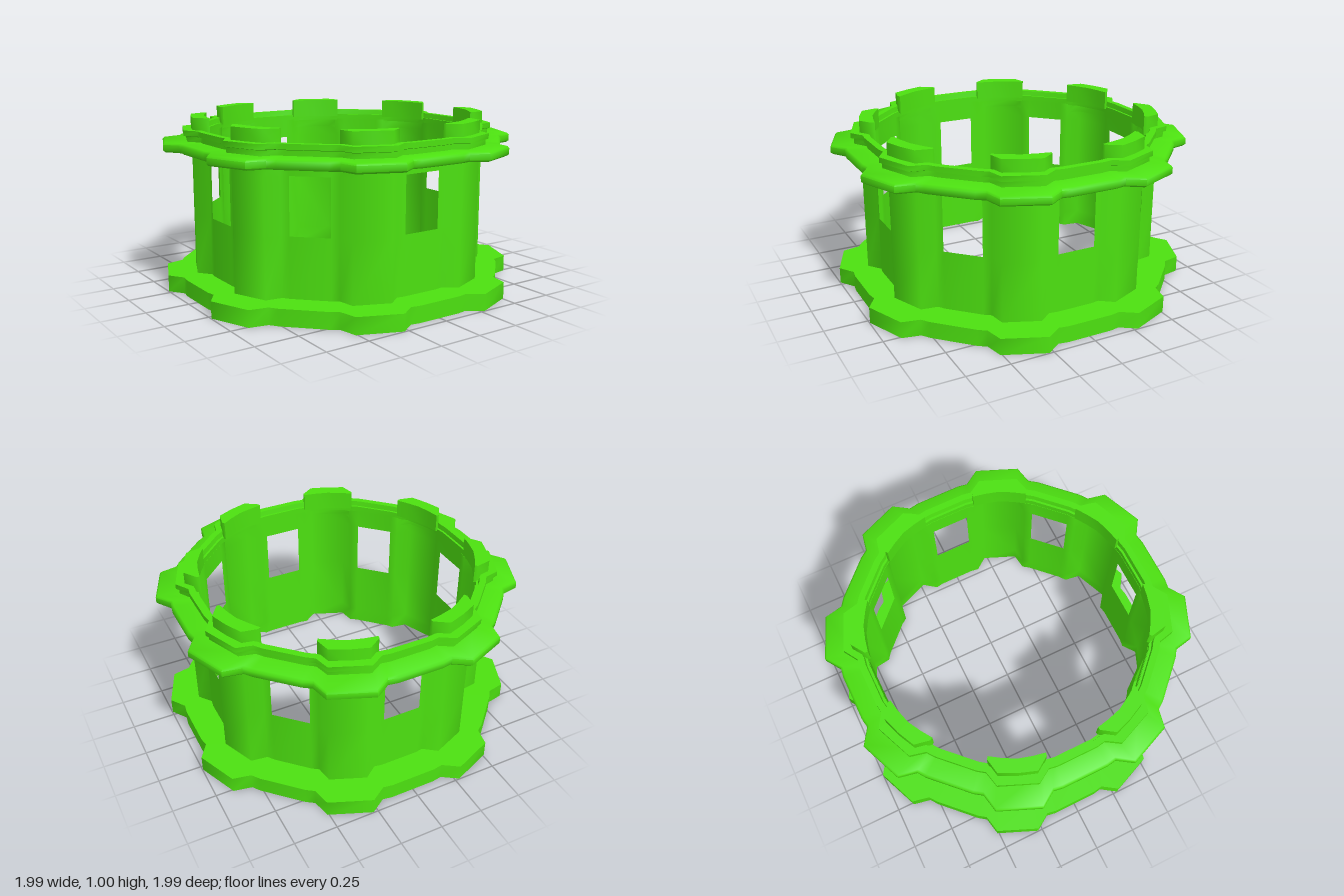
import * as THREE from 'three';
import { toCreasedNormals } from 'three/addons/utils/BufferGeometryUtils.js';

const BAYS = 8;
const RAD = Math.PI / 180;

// Plan of one bay: angle in degrees, and whether the point lies on the projecting bump
const BAY = [[-11.3, 0], [-8, 0], [8, 0], [11.3, 0], [15.5, 1], [29.5, 1]];
const WINDOW_COLUMN = 1;

// Lofts bumpy rings given as [y, radius between bumps, radius on bumps]
function loft(rings, { closed = true, skip = () => false } = {}) {
  const n = BAYS * BAY.length;
  const positions = [];
  const index = [];
  for (const [y, rBase, rBump] of rings) {
    for (let k = 0; k < BAYS; k++) {
      for (const [deg, bump] of BAY) {
        const a = (deg + k * 360 / BAYS) * RAD;
        const r = bump ? rBump : rBase;
        positions.push(Math.sin(a) * r, y, Math.cos(a) * r);
      }
    }
  }
  const rows = closed ? rings.length : rings.length - 1;
  for (let j = 0; j < rows; j++) {
    const lower = j * n;
    const upper = ((j + 1) % rings.length) * n;
    for (let i = 0; i < n; i++) {
      if (skip(i % BAY.length, j)) continue;
      const next = (i + 1) % n;
      index.push(lower + i, lower + next, upper + next, lower + i, upper + next, upper + i);
    }
  }
  const geometry = new THREE.BufferGeometry();
  geometry.setAttribute('position', new THREE.Float32BufferAttribute(positions, 3));
  geometry.setIndex(index);
  return toCreasedNormals(geometry, 1.05);
}

// One merlon, following the bump in plan, centred on the front
function merlonGeometry(height) {
  const plan = [
    [-11.2, 0.8], [-7, 0.866], [0, 0.866], [7, 0.866], [11.2, 0.8],
    [11.2, 0.782], [6, 0.785], [0, 0.79], [-6, 0.785], [-11.2, 0.782],
  ];
  const shape = new THREE.Shape(plan.map(([deg, r]) =>
    new THREE.Vector2(Math.sin(deg * RAD) * r, -Math.cos(deg * RAD) * r)));
  const geometry = new THREE.ExtrudeGeometry(shape, { depth: height, bevelEnabled: false });
  geometry.rotateX(-Math.PI / 2);
  return toCreasedNormals(geometry, 1.05);
}

export function createModel() {
  const model = new THREE.Group();
  model.name = 'towerRing';
  const green = new THREE.MeshStandardMaterial({ color: 0x4ce010, side: THREE.DoubleSide });
  green.name = 'green';

  const add = (name, geometry, parent = model) => {
    const mesh = new THREE.Mesh(geometry, green);
    mesh.name = name;
    parent.add(mesh);
    return mesh;
  };

  // Foot ring
  add('base', loft([
    [0, 0.957, 1.035], [0.095, 0.957, 1.035], [0.095, 0.793, 0.866], [0, 0.793, 0.866],
  ]));

  // Thin wall with pilasters and window openings
  add('wall', loft([
    [0.09, 0.793, 0.866], [0.435, 0.793, 0.866], [0.755, 0.793, 0.866], [0.87, 0.793, 0.866],
  ], { closed: false, skip: (column, row) => column === WINDOW_COLUMN && row === 1 }));

  // Projecting ledge with softened edges
  add('cornice', loft([
    [0.812, 0.945, 1.022], [0.822, 0.957, 1.035], [0.855, 0.957, 1.035], [0.866, 0.945, 1.025],
    [0.866, 0.795, 0.86], [0.812, 0.795, 0.86],
  ]));

  // Stepped parapet
  add('parapet', loft([
    [0.862, 0.836, 0.9], [0.895, 0.836, 0.9], [0.9, 0.852, 0.918], [0.93, 0.852, 0.918],
    [0.93, 0.815, 0.835], [0.9, 0.81, 0.83], [0.9, 0.797, 0.815], [0.862, 0.797, 0.815],
  ]));

  // Merlons over the pilasters
  const merlons = new THREE.Group();
  merlons.name = 'merlons';
  model.add(merlons);
  const merlon = merlonGeometry(0.11);
  for (let k = 0; k < BAYS; k++) {
    const mesh = add('merlon', merlon, merlons);
    mesh.position.y = 0.89;
    mesh.rotation.y = (k + 0.5) * 2 * Math.PI / BAYS;
  }

  return model;
}
